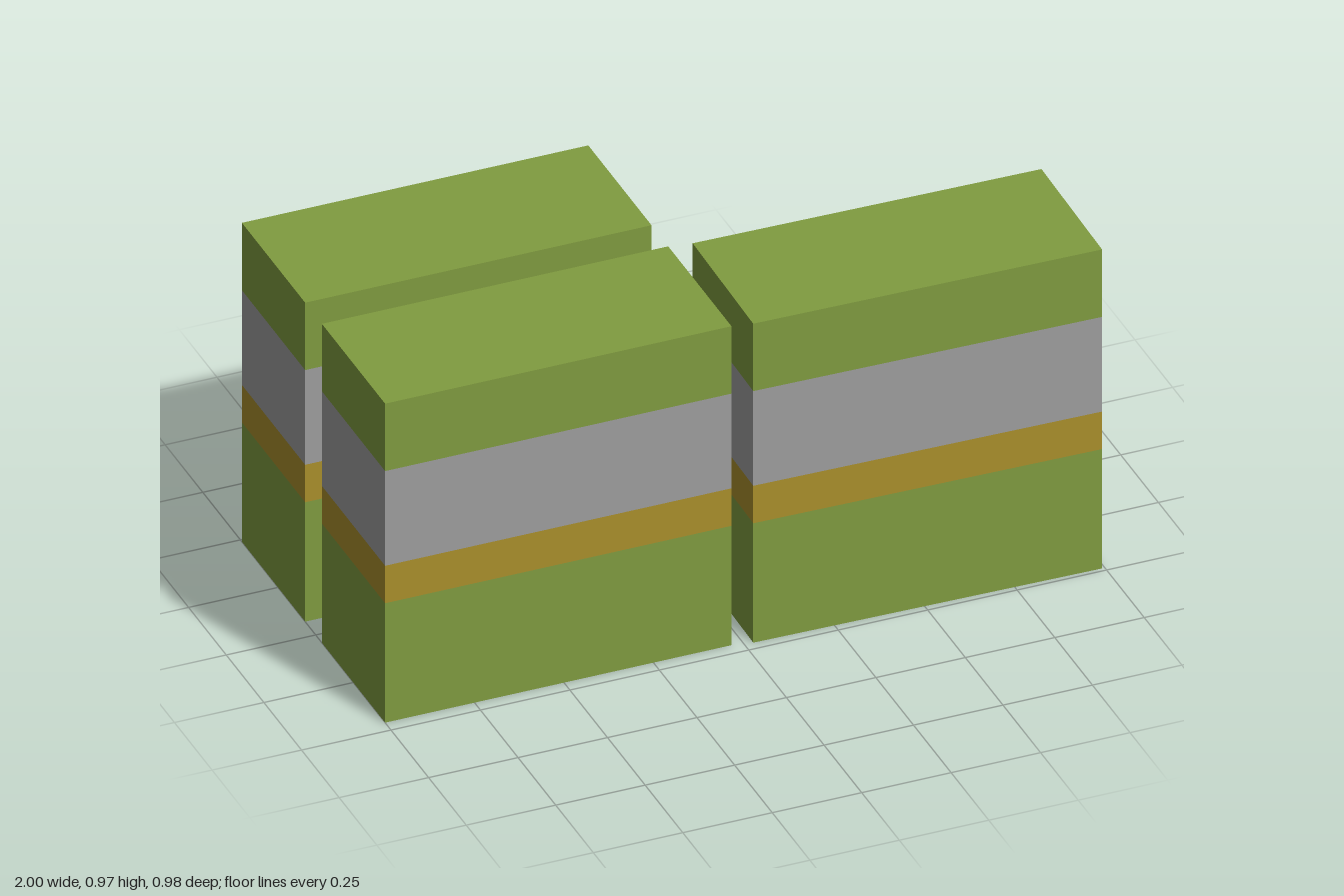
import * as THREE from 'three';

const WIDTH = 0.968, DEPTH = 0.42;
// Heights of the band edges, top to bottom
const LEVELS = [0.97, 0.765, 0.477, 0.363, 0];

const flat = (name, color) => {
  const material = new THREE.MeshStandardMaterial({ color });
  material.name = name;
  return material;
};

// One closed block whose sides are divided into four coloured bands
function bandedBlockGeometry() {
  const rows = LEVELS.length - 1;
  const height = LEVELS[0];
  const geometry = new THREE.BoxGeometry(WIDTH, height, DEPTH, 1, rows, 1);
  const pos = geometry.attributes.position;
  for (let i = 0; i < pos.count; i++) {
    const row = Math.round((0.5 - pos.getY(i) / height) * rows);
    pos.setY(i, LEVELS[row]);
  }

  // Material per row: green, grey, ochre, green; top and bottom stay green
  const bandMaterials = [0, 1, 2, 0];
  const sides = geometry.groups.map((g) => ({ ...g }));
  geometry.clearGroups();
  for (const { start, count } of sides) {
    if (count === 6) geometry.addGroup(start, 6, 0);
    else bandMaterials.forEach((m, row) => geometry.addGroup(start + row * 6, 6, m));
  }
  return geometry;
}

export function createModel() {
  const model = new THREE.Group();
  model.name = 'bandedBlocks';
  const materials = [flat('green', 0x809c40), flat('grey', 0x9e9e9e), flat('ochre', 0xaa902c)];
  const geometry = bandedBlockGeometry();

  // name, x, z, turn in degrees
  const blocks = [
    ['backRightBlock', -0.516, -0.28, 0],
    ['frontRightBlock', -0.516, 0.251, 0],
    ['frontLeftBlock', 0.512, 0.27, -1],
  ];
  for (const [name, x, z, turn] of blocks) {
    const block = new THREE.Mesh(geometry, materials);
    block.name = name;
    block.position.set(x, 0, z);
    block.rotation.y = THREE.MathUtils.degToRad(turn);
    model.add(block);
  }
  return model;
}
